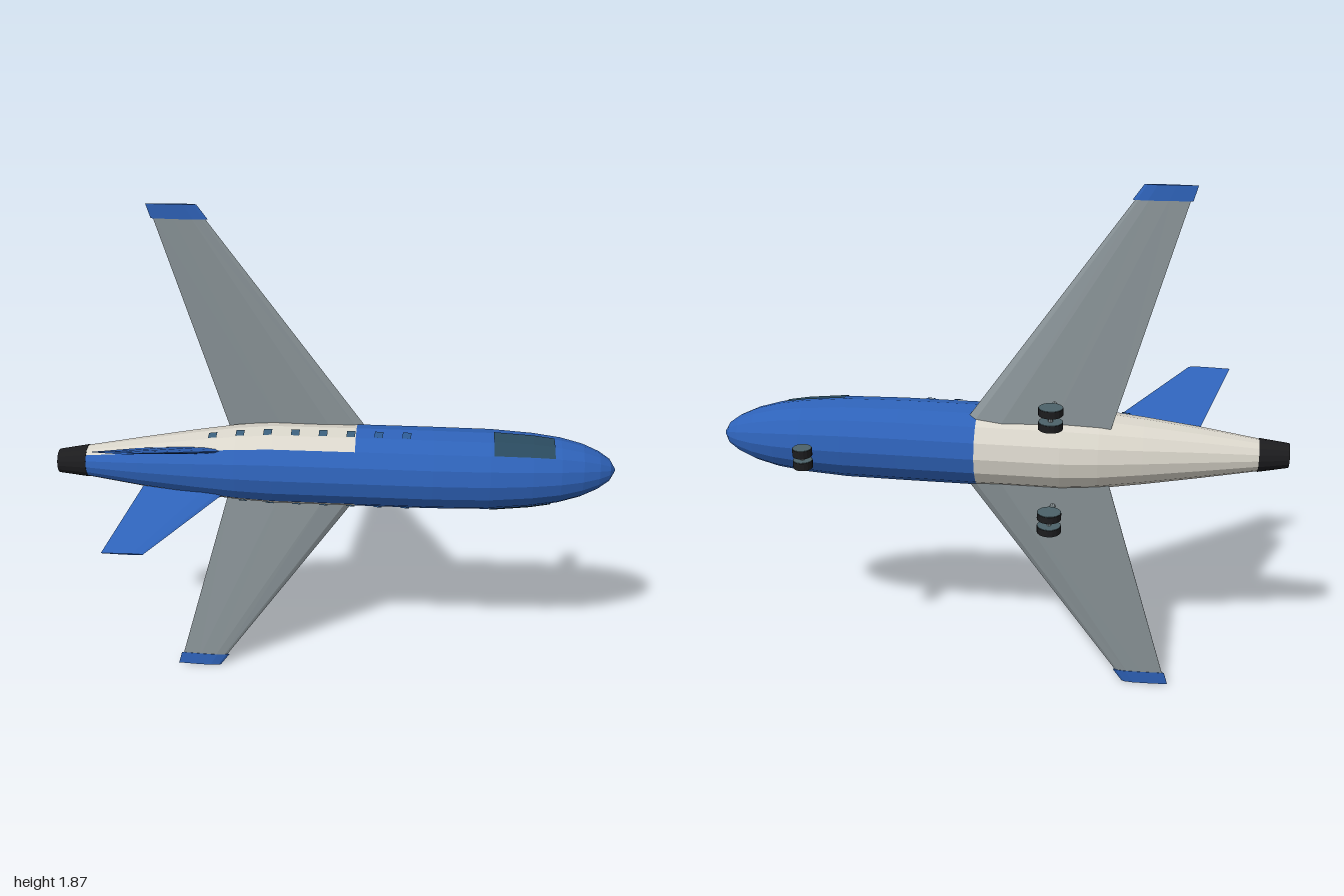
import * as THREE from 'three';

const mat = (color, side = THREE.FrontSide) =>
  new THREE.MeshStandardMaterial({ color, flatShading: true, side });
const BLUE = mat(0x2e62b8), CREAM = mat(0xd9d5ca), GREY = mat(0x8a9498), BLACK = mat(0x1c1c1e);
const GLASS = mat(0x2a4a5e, THREE.DoubleSide), PANE = mat(0x3a5f7c, THREE.DoubleSide);
const PANE_DIM = mat(0x2c5a94, THREE.DoubleSide), HUB = mat(0x4c6269);

// Skin a list of equal-length rings; each ring lists its points in order
function loft(rings, capped = false) {
  const pos = [];
  const tri = (a, b, c) => pos.push(...a, ...b, ...c);
  for (let i = 0; i < rings.length - 1; i++) {
    for (let j = 0; j < rings[i].length - 1; j++) {
      const a = rings[i][j], b = rings[i + 1][j], c = rings[i + 1][j + 1], d = rings[i][j + 1];
      tri(a, b, c);
      tri(a, c, d);
    }
  }
  if (capped) {
    const s = rings[0], e = rings[rings.length - 1];
    for (let j = 1; j < s.length - 1; j++) {
      tri(s[0], s[j], s[j + 1]);
      tri(e[0], e[j + 1], e[j]);
    }
  }
  const g = new THREE.BufferGeometry();
  g.setAttribute('position', new THREE.Float32BufferAttribute(pos, 3));
  g.computeVertexNormals();
  return g;
}

// Fuselage stations: x, centre z, radius
const STATIONS = [
  [-0.9, -0.022, 0.056], [-0.7, -0.029, 0.089], [-0.5, -0.041, 0.118], [-0.35, -0.05, 0.137],
  [-0.22, -0.055, 0.146], [0.075, -0.056, 0.147], [0.35, -0.056, 0.147], [0.55, -0.06, 0.144],
  [0.7, -0.067, 0.132], [0.8, -0.072, 0.117], [0.88, -0.077, 0.095], [0.94, -0.081, 0.068],
  [0.98, -0.084, 0.04], [1.0, -0.086, 0.006],
];

function stationAt(x) {
  const i = Math.max(1, STATIONS.findIndex((s) => s[0] >= x));
  const a = STATIONS[i - 1], b = STATIONS[i], t = (x - a[0]) / (b[0] - a[0]);
  return [x, a[1] + (b[1] - a[1]) * t, a[2] + (b[2] - a[2]) * t];
}

// Part of a body ring; the angle in degrees runs from the top (+z) towards +y
function arc([x, c, r], from, to, n, lift = 0) {
  return Array.from({ length: n + 1 }, (_, k) => {
    const a = THREE.MathUtils.degToRad(from + ((to - from) * k) / n);
    return [x, (r + lift) * Math.sin(a), c + (r + lift) * Math.cos(a)];
  });
}

// Patch lying just above the body skin
function patch(xs, from, to, n) {
  return loft(xs.map((x) => arc(stationAt(x), from, to, n, 0.004)));
}

// Airfoil outline: fraction of the chord, share of the half thickness
const FOIL = [[0, 0], [0.06, 0.6], [0.25, 1], [0.6, 0.7], [1, 0.08],
  [1, -0.08], [0.6, -0.7], [0.25, -1], [0.06, -0.6], [0, 0]];

// Tapered surface from root to tip; each end is { le, te, h }, mirrored for side -1
function surface(ends, normal, side) {
  const rings = ends.map(({ le, te, h }) => FOIL.map(([f, t]) => {
    const p = le.map((v, k) => v + (te[k] - v) * f + normal[k] * t * h);
    return [p[0], p[1] * side, p[2]];
  }));
  return loft(side > 0 ? rings : rings.reverse(), true);
}

// Wing section at a given distance from the centre line
function wingEnd(d, reach = 0) {
  const z = -0.118 + (d - 0.145) * 0.05;
  return {
    le: [0.09 - 0.71 * (d - 0.145) + reach, d, z],
    te: [-0.4 - 0.285 * (d - 0.145) - reach, d, z],
    h: 0.023 - 0.0225 * (d - 0.145) + reach * 0.2,
  };
}

export function createModel() {
  const model = new THREE.Group();
  model.name = 'airplane';
  const body = new THREE.Group();
  body.name = 'airframe';
  body.position.y = 0.935;
  model.add(body);
  const add = (name, geometry, material, parent = body) => {
    const mesh = new THREE.Mesh(geometry, material);
    mesh.name = name;
    parent.add(mesh);
    return mesh;
  };

  // Fuselage: blue nose half, cream rear half with a blue back
  const rear = STATIONS.filter((s) => s[0] < 0.08);
  const front = STATIONS.filter((s) => s[0] > 0.07);
  add('frontFuselage', loft(front.map((s) => arc(s, 0, 360, 16)), true), BLUE);
  add('rearBack', loft(rear.map((s) => arc(s, -45, 45, 4))), BLUE);
  add('rearBelly', loft(rear.map((s) => arc(s, 45, 315, 12))), CREAM);
  const cone = [[-1, -0.013, 0.043], [-0.895, -0.022, 0.059]];
  add('tailCone', loft(cone.map((s) => arc(s, 0, 360, 16)), true), BLACK);

  for (const side of [1, -1]) {
    const label = side > 0 ? 'Upper' : 'Lower';

    // Cockpit glass and cabin windows
    const span = (a, b) => (side > 0 ? [a, b] : [-b, -a]);
    add('cockpitGlass' + label, patch([0.56, 0.7, 0.775], ...span(45, 90), 2), GLASS);
    for (let i = 0; i < 8; i++) {
      const x = -0.435 + i * 0.0985;
      add('window' + label, patch([x - 0.015, x + 0.015], ...span(68, 80), 1), i < 6 ? PANE : PANE_DIM);
    }

    // Swept wing with a coloured tip
    add('wing' + label, surface([wingEnd(0.07), wingEnd(0.91)], [0, 0, 1], side), GREY);
    add('wingTip' + label, surface([wingEnd(0.885, 0.008), wingEnd(0.935, 0.008)], [0, 0, 1], side), BLUE);

    // Tail fin, leaning outwards
    add('tailFin' + label, surface([
      { le: [-0.34, 0.06, -0.02], te: [-0.68, 0.06, -0.02], h: 0.013 },
      { le: [-0.645, 0.197, 0.295], te: [-0.793, 0.197, 0.295], h: 0.004 },
    ], [0, -0.915, 0.4], side), BLUE);
  }

  // Landing gear: strut with a pair of wheels on an axle
  const gear = (name, x, y, wheelZ, radius, width, gap, topZ) => {
    const group = new THREE.Group();
    group.name = name;
    group.position.set(x, y, 0);
    body.add(group);
    const strut = add('strut', new THREE.CylinderGeometry(0.01, 0.01, topZ - wheelZ, 8), GREY, group);
    strut.rotation.x = Math.PI / 2;
    strut.position.z = (topZ + wheelZ) / 2;
    add('axle', new THREE.CylinderGeometry(0.008, 0.008, gap * 2, 8), GREY, group).position.z = wheelZ;
    for (const s of [1, -1]) {
      add('wheel', new THREE.CylinderGeometry(radius, radius, width, 16), BLACK, group)
        .position.set(0, s * gap, wheelZ);
      add('hub', new THREE.CylinderGeometry(radius * 0.96, radius * 0.96, width + 0.003, 16), HUB, group)
        .position.set(0, s * gap, wheelZ);
    }
  };
  gear('noseGear', 0.66, 0, -0.267, 0.034, 0.027, 0.022, -0.17);
  gear('mainGearUpper', -0.195, 0.192, -0.257, 0.042, 0.024, 0.025, -0.12);
  gear('mainGearLower', -0.195, -0.192, -0.257, 0.042, 0.024, 0.025, -0.12);

  return model;
}
